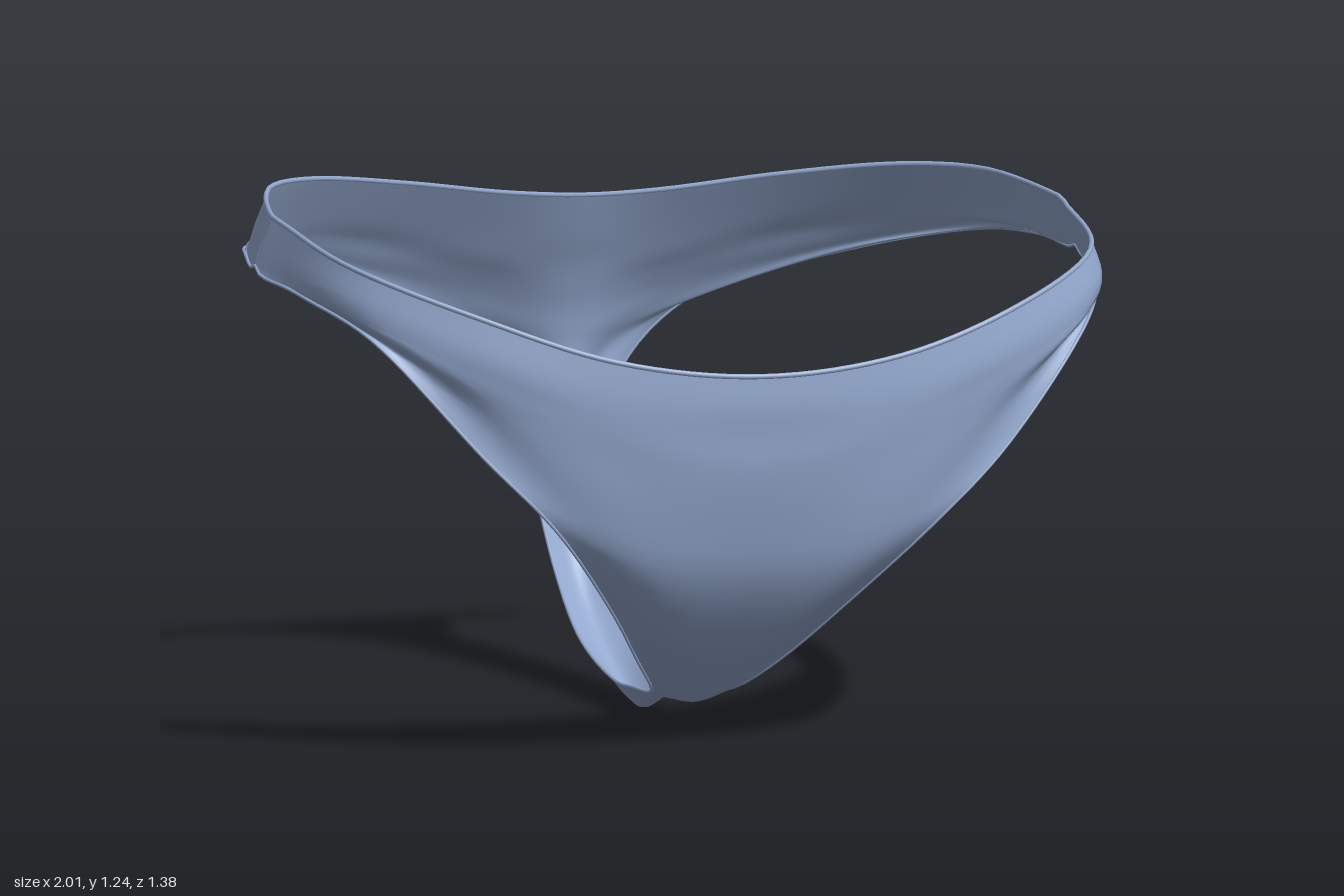
import * as THREE from 'three';

const COLS = 36; // samples across a cross-section
const STEPS = 4; // samples between two cross-sections

// Half cross-sections, from the leg edge to the centre line, waist first.
const FRONT = [
  [[.96, 1.188, .03], [.9, 1.13, .4], [.66, 1.04, .59], [.35, .943, .665], [0, .905, .685]],
  [[1, 1.075, .02], [.92, 1.055, .41], [.67, .955, .6], [.35, .86, .67], [0, .83, .687]],
  [[.975, 1.045, .22], [.88, 1, .46], [.66, .895, .6], [.33, .795, .67], [0, .76, .68]],
  [[.87, .97, .46], [.6, .815, .61], [.3, .72, .665], [0, .69, .675]],
  [[.635, .71, .588], [.35, .59, .64], [0, .56, .65]],
  [[.465, .545, .605], [.24, .435, .61], [0, .41, .605]],
  [[.285, .335, .495], [.14, .265, .5], [0, .245, .49]],
  [[.18, .2, .387], [0, .14, .375]],
  [[.11, .12, .295], [0, .085, .3]],
  [[.08, .09, .2], [0, .07, .2]],
  [[.065, .075, .05], [0, .055, .05]],
];
const BACK = [
  [[.96, 1.188, .03], [.93, 1.2, -.1], [.86, 1.212, -.25], [.71, 1.205, -.365], [.45, 1.17, -.467], [.19, 1.135, -.505], [0, 1.125, -.51]],
  [[1, 1.075, .02], [.96, 1.09, -.13], [.89, 1.11, -.28], [.75, 1.1, -.41], [.48, 1.07, -.52], [.2, 1.03, -.56], [0, 1.02, -.55]],
  [[.97, 1.075, -.13], [.9, 1.08, -.29], [.76, 1.06, -.43], [.5, 1.02, -.55], [.2, .97, -.59], [0, .95, -.58]],
  [[.91, 1.063, -.29], [.77, 1.03, -.445], [.5, .98, -.57], [.2, .92, -.62], [0, .89, -.6]],
  [[.78, 1.02, -.45], [.5, .945, -.59], [.2, .87, -.645], [0, .84, -.615]],
  [[.57, .95, -.585], [.2, .82, -.665], [0, .79, -.625]],
  [[.36, .88, -.665], [.15, .77, -.68], [0, .74, -.632]],
  [[.2, .75, -.69], [.09, .7, -.675], [0, .68, -.632]],
];
const STRAP = [
  [[.1, .575, -.665], [0, .56, -.625]],
  [[.075, .4, -.59], [0, .39, -.605]],
  [[.065, .25, -.485], [0, .225, -.5]],
  [[.065, .13, -.32], [0, .105, -.33]],
  [[.065, .07, -.07], [0, .007, -.07]],
  [[.065, .075, .05], [0, .055, .05]],
];

// Slight sideways lean of the cloth: tilted waist, base off to one side.
function lean(x, y, z) {
  const shift = .025 * Math.min(1, Math.max(0, 1.05 - y));
  return new THREE.Vector3(x - shift, y - .037 * x, z);
}

// Mirror half a cross-section and resample it evenly, from -x to +x.
function fullRow(half) {
  const left = half.map(([x, y, z]) => lean(-x, y, z));
  const right = half.slice(0, -1).reverse().map(([x, y, z]) => lean(x, y, z));
  return new THREE.CatmullRomCurve3([...left, ...right]).getSpacedPoints(COLS);
}

// Smooth columns through all the cross-sections.
function columnsOf(halves) {
  const rows = halves.map(fullRow);
  return rows[0].map((_, j) =>
    new THREE.CatmullRomCurve3(rows.map((r) => r[j])).getPoints((rows.length - 1) * STEPS));
}

// Skin a grid of columns as one smooth sheet.
function sheet(columns, flip) {
  const n = columns[0].length;
  const index = [];
  for (let j = 0; j < columns.length - 1; j++) {
    for (let i = 0; i < n - 1; i++) {
      const a = j * n + i, b = a + 1, c = a + n, d = c + 1;
      if (flip) index.push(a, c, b, b, c, d);
      else index.push(a, b, c, b, d, c);
    }
  }
  const geo = new THREE.BufferGeometry().setFromPoints(columns.flat());
  geo.setIndex(index);
  geo.computeVertexNormals();
  return geo;
}

function hem(points, radius) {
  const curve = new THREE.CatmullRomCurve3(points, true);
  return new THREE.TubeGeometry(curve, 120, radius, 6, true);
}

export function createModel() {
  const group = new THREE.Group();
  const cloth = new THREE.MeshStandardMaterial({ color: 0x94a9cf, side: THREE.DoubleSide });
  cloth.name = 'blue cloth';
  const add = (name, geo) => {
    const mesh = new THREE.Mesh(geo, cloth);
    mesh.name = name;
    group.add(mesh);
  };

  // Panels
  const front = columnsOf(FRONT);
  const back = columnsOf([...BACK, ...STRAP]);
  add('frontPanel', sheet(front, false));
  add('backPanelAndStrap', sheet(back, true));

  // Waist hem round both top edges
  const waist = [...front.map((c) => c[0]), ...back.map((c) => c[0]).reverse().slice(1, -1)];
  add('waistHem', hem(waist, .006));

  // Leg hems along the outer columns, below the side seams
  for (const [name, j] of [['rightLegHem', 0], ['leftLegHem', COLS]]) {
    const edge = [...front[j].slice(STEPS), ...back[j].slice(STEPS + 1, -1).reverse()];
    add(name, hem(edge, .004));
  }
  return group;
}
